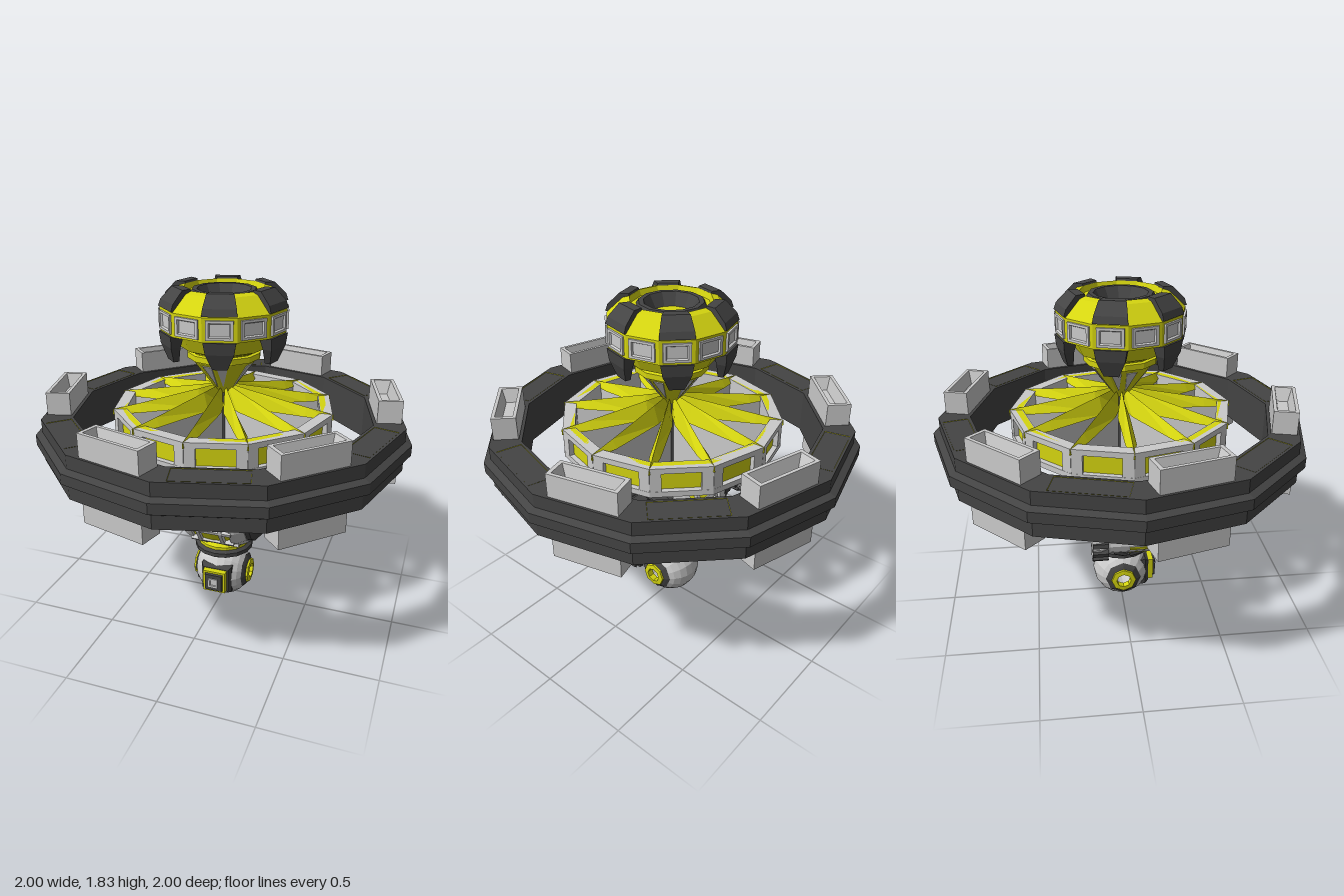
import * as THREE from 'three';

const mat = (color) => new THREE.MeshStandardMaterial({ color, flatShading: true, side: THREE.DoubleSide });
const GREY = mat(0xcccccc), DARK = mat(0x444444), YELLOW = mat(0xd6d610);
const TAU = Math.PI * 2;

function add(parent, name, geo, material, x = 0, y = 0, z = 0) {
  const m = new THREE.Mesh(geo, material);
  m.name = name;
  m.position.set(x, y, z);
  parent.add(m);
  return m;
}
const group = (parent, name) => {
  const g = new THREE.Group();
  g.name = name;
  parent.add(g);
  return g;
};
// Profile of [radius, height]; axis may be turned to x or z
function lathe(pts, seg, axis = 'y') {
  const g = new THREE.LatheGeometry(pts.map((p) => new THREE.Vector2(...p)), seg);
  if (axis === 'x') g.rotateZ(-Math.PI / 2);
  if (axis === 'z') g.rotateX(Math.PI / 2);
  return g;
}
const closed = (pts) => [...pts, pts[0]];
// Skin between equal-sized loops of points, with both ends capped
function loft(loops, capStart = true) {
  const pos = [], n = loops[0].length, last = loops[loops.length - 1];
  const tri = (...ps) => ps.forEach((p) => pos.push(...p));
  for (let i = 0; i + 1 < loops.length; i++) {
    for (let j = 0; j < n; j++) {
      const k = (j + 1) % n, A = loops[i], B = loops[i + 1];
      tri(A[j], A[k], B[k], A[j], B[k], B[j]);
    }
  }
  for (let j = 1; j + 1 < n; j++) {
    tri(last[0], last[j], last[j + 1]);
    if (capStart) tri(loops[0][0], loops[0][j + 1], loops[0][j]);
  }
  const g = new THREE.BufferGeometry();
  g.setAttribute('position', new THREE.Float32BufferAttribute(pos, 3));
  g.computeVertexNormals();
  return g;
}
// Horizontal rectangle w by d at height y
const rect = (w, d, y, z = 0) =>
  [[-w / 2, y, z + d / 2], [w / 2, y, z + d / 2], [w / 2, y, z - d / 2], [-w / 2, y, z - d / 2]];
const stack = (rows, cap = true) => loft(rows.map((r) => rect(...r)), cap);
// One wedge of a turned profile
const sector = (pts, a0, a1) =>
  loft([a1, a0].map((a) => pts.map(([r, y]) => [r * Math.sin(a), y, r * Math.cos(a)])));
// Calls fn with a holder turned to face each side of a polygon
function around(parent, name, n, offset, fn) {
  for (let i = 0; i < n; i++) {
    const g = group(parent, name);
    g.rotation.y = ((i + offset) / n) * TAU;
    fn(g, i);
  }
}
const polygon = (r, n) => Array.from({ length: n }, (_, i) =>
  new THREE.Vector2(r * Math.sin((i / n) * TAU), r * Math.cos((i / n) * TAU)));

function buildRing(root) {
  const ring = group(root, 'outerRing');
  add(ring, 'ringBody', lathe(closed([[0.8, 0.94], [0.965, 0.94], [0.965, 1.01], [1, 1.03], [1, 1.085],
    [0.965, 1.1], [0.8, 1.1]]), 12), DARK);
  // Top deck with six cut-outs
  const deck = new THREE.Shape(polygon(0.965, 12));
  deck.holes.push(new THREE.Path(polygon(0.8, 12)));
  for (let i = 0; i < 6; i++) {
    const c = new THREE.Vector2();
    deck.holes.push(new THREE.Path([[-0.18, 0.79], [0.18, 0.79], [0.18, 0.92], [-0.18, 0.92]].map((p) =>
      new THREE.Vector2(...p).rotateAround(c, -Math.PI / 12 - (i * TAU) / 6))));
  }
  const deckGeo = new THREE.ExtrudeGeometry(deck, { depth: 0.07, bevelEnabled: false });
  deckGeo.rotateX(-Math.PI / 2).rotateY(Math.PI);
  add(ring, 'ringDeck', deckGeo, DARK, 0, 1.1, 0);
  around(ring, 'ringBay', 12, 0.5, (g, i) => {
    if (i % 2) {
      add(g, 'container', stack([[0.36, 0.125, 0.83], [0.36, 0.125, 1.29], [0.32, 0.09, 1.29],
        [0.27, 0.055, 1.22]]), GREY, 0, 0, 0.855);
    } else {
      add(g, 'tray', stack([[0.36, 0.13, 1.172], [0.28, 0.07, 1.11]], false), YELLOW, 0, 0, 0.855);
    }
  });
}

function buildWheel(root) {
  const wheel = group(root, 'spokedWheel');
  add(wheel, 'rimCore', lathe(closed([[0.53, 1.04], [0.562, 1.04], [0.562, 1.2], [0.53, 1.2]]), 12), YELLOW);
  add(wheel, 'rimTop', lathe(closed([[0.525, 1.17], [0.59, 1.17], [0.59, 1.2], [0.525, 1.2]]), 12), GREY);
  add(wheel, 'rimBottom', lathe(closed([[0.525, 1.04], [0.59, 1.04], [0.59, 1.07], [0.525, 1.07]]), 12), GREY);
  add(wheel, 'rimLining', lathe([[0.526, 1.19], [0.526, 1.05]], 12), GREY);
  const section = (z, w, yb, yt) => [[-w, yb, z], [w, yb, z], [w, yt, z], [-w, yt, z]];
  const ridge = (z, w, yb, yt) => [[-w, yb, z], [w, yb, z], [0, yt, z]];
  around(wheel, 'spoke', 12, 0, (g) => {
    add(g, 'spokeRidge', loft([ridge(0.02, 0.008, 1.2, 1.31), ridge(0.14, 0.032, 1.19, 1.285),
      ridge(0.45, 0.028, 1.18, 1.225), ridge(0.595, 0.004, 1.17, 1.2)]), YELLOW);
    add(g, 'spokeWeb', loft([section(0.04, 0.006, 0.85, 1.2), section(0.17, 0.007, 0.945, 1.2),
      section(0.54, 0.007, 1.04, 1.19)]), GREY);
  });
  // Window frames on the rim
  around(wheel, 'rimFrame', 12, 0.5, (g) => {
    for (const s of [-1, 1]) add(g, 'rimPost', new THREE.BoxGeometry(0.055, 0.12, 0.03), GREY, s * 0.124, 1.12, 0.554);
  });
  add(wheel, 'hubColumn', lathe([[0, 0.84], [0.05, 0.84], [0.05, 1.2], [0.03, 1.3], [0, 1.3]], 12), DARK);
}

function buildTower(root) {
  const t = group(root, 'tower');
  add(t, 'funnel', lathe([[0, 1.2], [0.03, 1.25], [0.045, 1.28], [0.17, 1.45], [0.18, 1.5], [0.23, 1.52],
    [0.27, 1.6], [0.33, 1.61], [0.33, 1.73], [0.245, 1.81], [0.21, 1.82], [0.2, 1.79], [0.16, 1.79]], 12), YELLOW);
  add(t, 'topCollar', lathe([[0.18, 1.785], [0.165, 1.81], [0.14, 1.81], [0.1, 1.74]], 12), DARK);
  add(t, 'topDisc', lathe([[0.115, 1.745], [0, 1.745]], 12), YELLOW);
  add(t, 'funnelBand', lathe(closed([[0.16, 1.45], [0.195, 1.46], [0.195, 1.49], [0.16, 1.5]]), 12), YELLOW);
  const slot = new THREE.Shape([[0, 0.03], [0.028, 0.19], [-0.028, 0.19]].map((p) => new THREE.Vector2(...p)));
  const slotGeo = new THREE.ExtrudeGeometry(slot, { depth: 0.004, bevelEnabled: false });
  slotGeo.rotateX(Math.atan2(0.121, 0.17));
  around(t, 'towerSide', 12, 0.5, (g, i) => {
    const win = add(g, 'window', stack([[0.135, 0.095, 0], [0.135, 0.095, 0.012], [0.105, 0.07, 0.012],
      [0.095, 0.06, 0.002]]), GREY, 0, 1.67, 0.317);
    win.rotation.x = Math.PI / 2;
    if (i % 3 !== 1) add(g, 'funnelSlot', slotGeo, GREY, 0, 1.28, 0.0435);
    if (i % 2) return;
    add(g, 'roofBlock', sector([[0.2, 1.79], [0.31, 1.73], [0.338, 1.735], [0.325, 1.77], [0.265, 1.83],
      [0.215, 1.83]], -0.255, 0.255), DARK);
    add(g, 'hangingFin', stack([[0.075, 0.03, 1.47, 0.285], [0.14, 0.05, 1.55, 0.3], [0.16, 0.07, 1.61, 0.295]]), DARK);
  });
}

function buildBody(root) {
  const b = group(root, 'body');
  b.position.y = 0.645;
  add(b, 'bodyCore', lathe([[0.2, -0.2], [0.25, -0.14], [0.275, -0.065], [0.28, 0], [0.275, 0.065],
    [0.25, 0.14], [0.2, 0.2]], 16, 'x'), YELLOW);
  // Lattice of hoops and crossbars
  for (const [x, r] of [[-0.065, 0.292], [0.065, 0.292]]) {
    add(b, 'hoop', lathe(closed([[r - 0.03, x - 0.012], [r, x - 0.01], [r, x + 0.01], [r - 0.03, x + 0.012]]), 16, 'x'), GREY);
  }
  for (let i = 0; i < 16; i++) {
    const g = group(b, 'crossbar');
    g.rotation.x = (i / 16) * TAU;
    add(g, 'bar', new THREE.BoxGeometry(0.25, 0.02, 0.026), GREY, 0, 0, 0.276);
  }
  for (const s of [-1, 1]) {
    const side = group(b, s > 0 ? 'leftSide' : 'rightSide');
    side.rotation.y = s > 0 ? 0 : Math.PI;
    add(side, 'sideShell', lathe([[0.25, 0.11], [0.278, 0.11], [0.272, 0.14], [0.245, 0.19], [0.18, 0.2]], 16, 'x'), GREY);
    add(side, 'darkShell', lathe([[0.22, 0.17], [0.242, 0.18], [0.235, 0.215], [0.18, 0.26], [0, 0.265]], 16, 'x'), DARK);
    add(side, 'shoulderWheel', lathe([[0, 0.25], [0.15, 0.26], [0.162, 0.28], [0.162, 0.345], [0.145, 0.365],
      [0.11, 0.365], [0.1, 0.35]], 12, 'x'), DARK);
    add(side, 'wheelCap', lathe([[0.11, 0.352], [0.06, 0.36], [0, 0.36]], 12, 'x'), GREY);
    for (let i = 0; i < 12; i++) {
      const g = group(side, 'wheelTread');
      g.rotation.x = ((i + 0.5) / 12) * TAU;
      const tread = add(g, 'tread', stack([[0.11, 0.07, 0], [0.105, 0.068, 0.02], [0.075, 0.055, 0.032]]), DARK, 0.315, 0, 0.145);
      tread.rotation.x = Math.PI / 2;
    }
    add(side, 'gunArm', lathe([[0.05, 0.35], [0.05, 0.43]], 8, 'x'), GREY);
  }
}

function buildGun(root, s) {
  const g = group(root, s > 0 ? 'leftGun' : 'rightGun');
  g.position.set(s * 0.455, 0.645, 0);
  add(g, 'barrel', lathe([[0, -0.12], [0.055, -0.12], [0.06, -0.2], [0.09, -0.2], [0.09, -0.16], [0.068, -0.11],
    [0.068, 0.12]], 12, 'z'), GREY);
  add(g, 'muzzleRing', lathe([[0.06, 0.1], [0.085, 0.11], [0.09, 0.13], [0.09, 0.18], [0.075, 0.2], [0.06, 0.2],
    [0.055, 0.17], [0, 0.17]], 12, 'z'), DARK);
  add(g, 'muzzleDisc', lathe([[0.055, 0.172], [0.025, 0.19], [0, 0.19]], 12, 'z'), GREY);
  for (let i = 0; i < 12; i++) {
    const h = group(g, 'gunSpoke');
    h.rotation.z = ((i + 0.5) / 12) * TAU;
    add(h, 'rearFin', new THREE.BoxGeometry(0.022, 0.03, 0.08), DARK, 0, 0.088, -0.16);
    if (i % 3 !== 2) add(h, 'prong', new THREE.BoxGeometry(0.012, 0.016, 0.2), YELLOW, 0, 0.042, 0.27);
    if (i % 2) add(h, 'barrelRib', new THREE.BoxGeometry(0.014, 0.01, 0.1), YELLOW, 0, 0.066, 0.04);
  }
}

function buildHead(root) {
  add(root, 'neck', lathe([[0.15, 0.35], [0.15, 0.375], [0.12, 0.4], [0.13, 0.46]], 16), YELLOW);
  add(root, 'collar', lathe(closed([[0.1, 0.305], [0.15, 0.31], [0.168, 0.322], [0.168, 0.345], [0.15, 0.358],
    [0.1, 0.36]]), 16), DARK);
  const h = group(root, 'head');
  h.position.y = 0.165;
  const arc = (r, a0, a1, n) => Array.from({ length: n + 1 }, (_, i) => {
    const a = a0 + ((a1 - a0) * i) / n;
    return [r * Math.cos(a), r * Math.sin(a)];
  });
  // Ball with a tunnel through its sides
  add(h, 'ball', lathe(closed(arc(0.165, -1.26, 1.26, 10)), 16, 'x'), GREY);
  for (const s of [-1, 1]) {
    const side = group(h, s > 0 ? 'leftPort' : 'rightPort');
    side.rotation.y = s > 0 ? 0 : Math.PI;
    add(side, 'portPlate', lathe(arc(0.17, 0.92, 1.15, 2), 8, 'x'), DARK);
    add(side, 'portRing', lathe(closed([[0.042, 0.13], [0.075, 0.13], [0.07, 0.165], [0.042, 0.168]]), 8, 'x'), YELLOW);
  }
  const eye = group(h, 'frontEye');
  eye.rotation.x = Math.PI / 2;
  add(eye, 'eyeBase', stack([[0.18, 0.17, 0.09], [0.18, 0.17, 0.135], [0.15, 0.14, 0.155]]), DARK);
  add(eye, 'eyeFrame', stack([[0.135, 0.135, 0.15], [0.13, 0.13, 0.185]]), YELLOW);
  add(eye, 'eyeSocket', stack([[0.11, 0.11, 0.18], [0.1, 0.1, 0.198]]), DARK);
  add(eye, 'eyeLens', stack([[0.055, 0.055, 0.19], [0.055, 0.055, 0.205], [0.035, 0.035, 0.205], [0.03, 0.03, 0.199]]), GREY);
}

export function createModel() {
  const root = new THREE.Group();
  root.name = 'spaceStation';
  buildRing(root);
  buildWheel(root);
  buildTower(root);
  buildBody(root);
  for (const s of [-1, 1]) buildGun(root, s);
  buildHead(root);
  return root;
}
